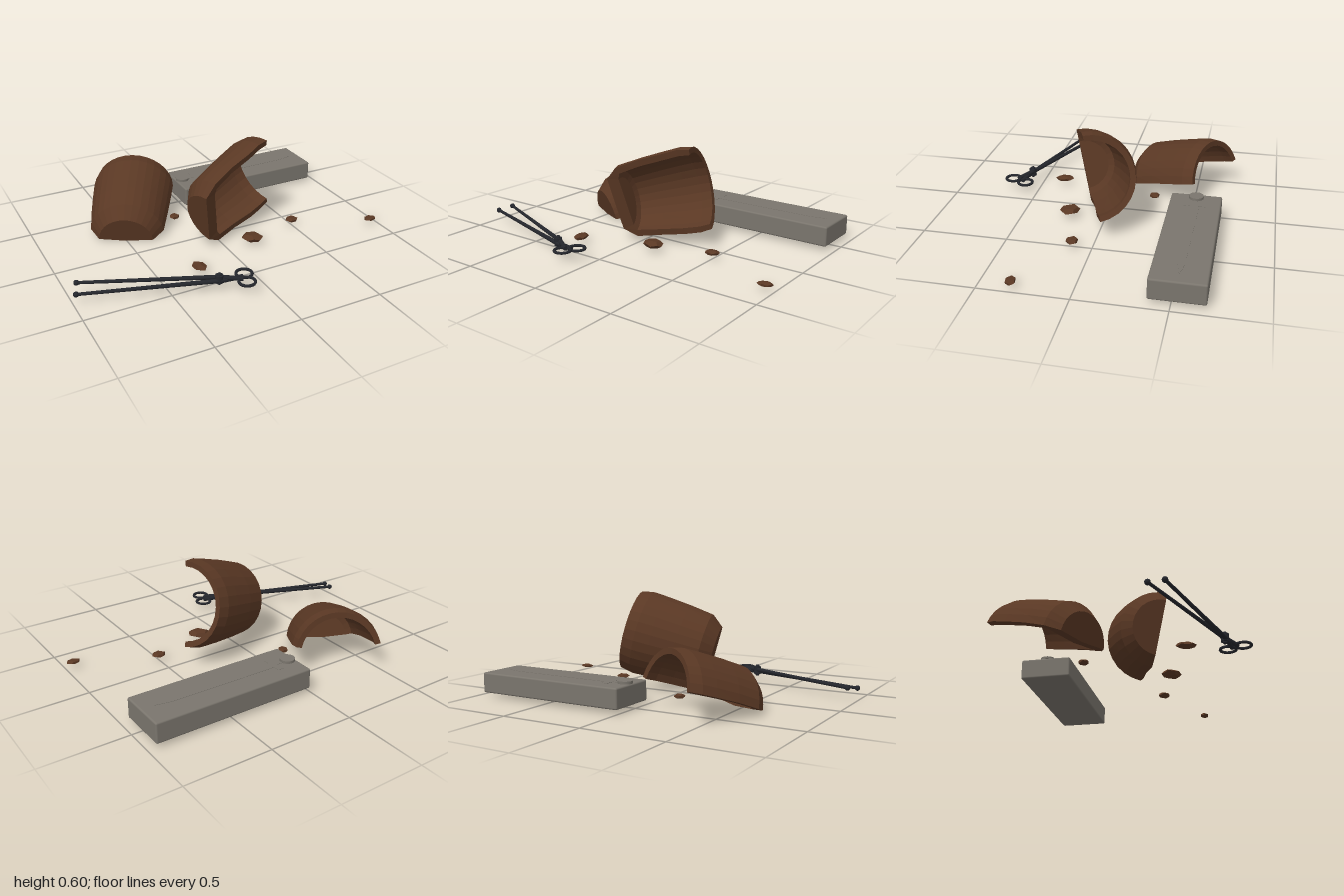
import * as THREE from 'three';
import { RoundedBoxGeometry } from 'three/addons/geometries/RoundedBoxGeometry.js';

const V = (x, y, z) => new THREE.Vector3(x, y, z);

// Crucible wall as a closed loop: outside from base to rim, then inside back to the floor
const OUTER = [[0, 0], [0.165, 0], [0.225, 0.075], [0.243, 0.22], [0.256, 0.37], [0.262, 0.465], [0.25, 0.535]];
const INNER = [[0, 0.07], [0.15, 0.07], [0.185, 0.085], [0.205, 0.22], [0.218, 0.37], [0.224, 0.465], [0.218, 0.53]];

// Part of a pot swept from -angle to +angle, where the angle changes with each profile row
function potPiece(angles, segments) {
  const loop = [...OUTER, ...[...INNER].reverse()];
  const n = loop.length, rows = OUTER.length, pos = [], idx = [];
  loop.forEach(([r, h], i) => {
    const half = angles[i < rows ? i : n - 1 - i] * Math.PI / 180;
    for (let j = 0; j <= segments; j++) {
      const a = -half + 2 * half * j / segments;
      pos.push(r * Math.sin(a), h, r * Math.cos(a));
    }
  });
  const at = (i, j) => (i % n) * (segments + 1) + j;
  for (let i = 0; i < n - 1; i++) {
    for (let j = 0; j < segments; j++) {
      idx.push(at(i, j), at(i, j + 1), at(i + 1, j + 1), at(i, j), at(i + 1, j + 1), at(i + 1, j));
    }
  }
  // broken edges
  for (let i = 0; i < rows - 1; i++) {
    const o = i, p = i + 1, q = n - 2 - i, s = n - 1 - i;
    const e = segments;
    idx.push(at(o, e), at(s, e), at(q, e), at(o, e), at(q, e), at(p, e));
    idx.push(at(o, 0), at(q, 0), at(s, 0), at(o, 0), at(p, 0), at(q, 0));
  }
  const g = new THREE.BufferGeometry();
  g.setAttribute('position', new THREE.Float32BufferAttribute(pos, 3));
  g.setIndex(idx);
  const flat = g.toNonIndexed();
  flat.computeVertexNormals();
  return flat;
}

// Places a piece by its rim centre, its axis and the direction of the middle of its wall
function placePiece(mesh, rim, axis, back) {
  const d = axis.clone().normalize();
  const x = d.clone().cross(back).normalize();
  const z = x.clone().cross(d);
  mesh.applyMatrix4(new THREE.Matrix4().makeBasis(x, d, z).setPosition(rim.clone().addScaledVector(d, -0.535)));
}

export function createModel() {
  const model = new THREE.Group();
  const mat = (name, color) => Object.assign(new THREE.MeshStandardMaterial({ color }), { name });
  const clay = mat('firedClay', 0x5a3824);
  const stone = mat('stone', 0x7a756d);
  const iron = mat('darkIron', 0x24262c);
  clay.flatShading = true;

  const add = (parent, name, geometry, material, p = [0, 0, 0]) => {
    const m = new THREE.Mesh(geometry, material);
    m.name = name;
    m.position.set(...p);
    parent.add(m);
    return m;
  };

  // Two halves of the broken crucible
  const upright = add(model, 'crucibleUprightHalf', potPiece([90, 90, 91, 89, 91, 90, 90], 14), clay);
  placePiece(upright, V(0.36, 0.335, 0.03), V(0.925, 0.25, -0.315), V(-0.36, 0.16, -0.93));
  const fallen = add(model, 'crucibleFallenHalf', potPiece([86, 86, 84, 80, 78, 77, 76], 14), clay);
  placePiece(fallen, V(-0.253, 0.1, -0.623), V(0.468, 0.23, -0.853), V(0, 1, 0));

  // Stone mould with a dagger shape
  const mould = new THREE.Group();
  mould.name = 'stoneMould';
  model.add(mould);
  add(mould, 'block', new RoundedBoxGeometry(0.955, 0.12, 0.3, 2, 0.01), stone, [0.4775, 0.06, -0.53]);
  add(mould, 'pommel', new THREE.CylinderGeometry(0.043, 0.043, 0.016, 24), stone, [0.045, 0.127, -0.53]);
  add(mould, 'grip', new THREE.BoxGeometry(0.04, 0.004, 0.02), stone, [0.102, 0.12, -0.53]);
  add(mould, 'guard', new THREE.BoxGeometry(0.034, 0.004, 0.126), stone, [0.138, 0.12, -0.53]);
  const blade = new THREE.Shape([[0.155, -0.025], [0.28, -0.025], [0.79, -0.019], [0.885, 0],
    [0.79, 0.019], [0.28, 0.025], [0.155, 0.025]].map(([x, y]) => new THREE.Vector2(x, y)));
  add(mould, 'blade', new THREE.ExtrudeGeometry(blade, { depth: 0.004, bevelEnabled: false }), stone,
    [0, 0.118, -0.53]).rotation.x = -Math.PI / 2;

  // Tongs
  const tongs = new THREE.Group();
  tongs.name = 'tongs';
  model.add(tongs);
  const bar = (name, a, b, r0, r1) => {
    const d = b.clone().sub(a);
    const m = add(tongs, name, new THREE.CylinderGeometry(r1, r0, d.length(), 8), iron,
      a.clone().add(b).multiplyScalar(0.5).toArray());
    m.quaternion.setFromUnitVectors(V(0, 1, 0), d.normalize());
  };
  const arms = [
    { tip: V(-0.952, 0.055, 0.262), mid: V(-0.25, 0.055, 0.558), end: V(-0.135, 0.05, 0.628), ring: V(-0.13, 0.05, 0.66) },
    { tip: V(-0.983, 0.042, 0.35), mid: V(-0.25, 0.042, 0.577), end: V(-0.12, 0.044, 0.597), ring: V(-0.1, 0.044, 0.573) },
  ];
  for (const { tip, mid, end, ring } of arms) {
    add(tongs, 'armTip', new THREE.SphereGeometry(0.016, 10, 8), iron, tip.toArray());
    bar('arm', tip, mid, 0.009, 0.013);
    bar('handle', mid, end, 0.015, 0.013);
    add(tongs, 'fingerRing', new THREE.TorusGeometry(0.045, 0.0085, 8, 24), iron, ring.toArray()).rotation.x = Math.PI / 2;
  }
  add(tongs, 'pivot', new THREE.CylinderGeometry(0.023, 0.023, 0.046, 12), iron, [-0.25, 0.05, 0.567]);
  for (const y of [0.026, 0.074]) {
    add(tongs, 'rivetHead', new THREE.SphereGeometry(0.014, 10, 8), iron, [-0.25, y, 0.567]);
  }

  // Scattered shards: x, z, then half sizes along x, y and z, and a turn
  const shards = [
    [-0.14, -0.255, 0.034, 0.015, 0.032, 0.4],
    [0.16, 0.212, 0.068, 0.023, 0.056, -0.5],
    [-0.265, 0.355, 0.038, 0.016, 0.06, 0.2],
    [0.5, 0.115, 0.044, 0.015, 0.036, 0.1],
    [0.95, 0.325, 0.045, 0.012, 0.03, 0.15],
  ];
  shards.forEach(([x, z, sx, sy, sz, turn], k) => {
    const g = new THREE.DodecahedronGeometry(1, 0);
    g.rotateX(k * 1.3).rotateZ(k * 0.7).scale(sx, sy, sz);
    g.computeBoundingBox();
    g.translate(0, -g.boundingBox.min.y, 0);
    add(model, 'shard', g, clay, [x, 0.002, z]).rotation.y = turn;
  });

  return model;
}
